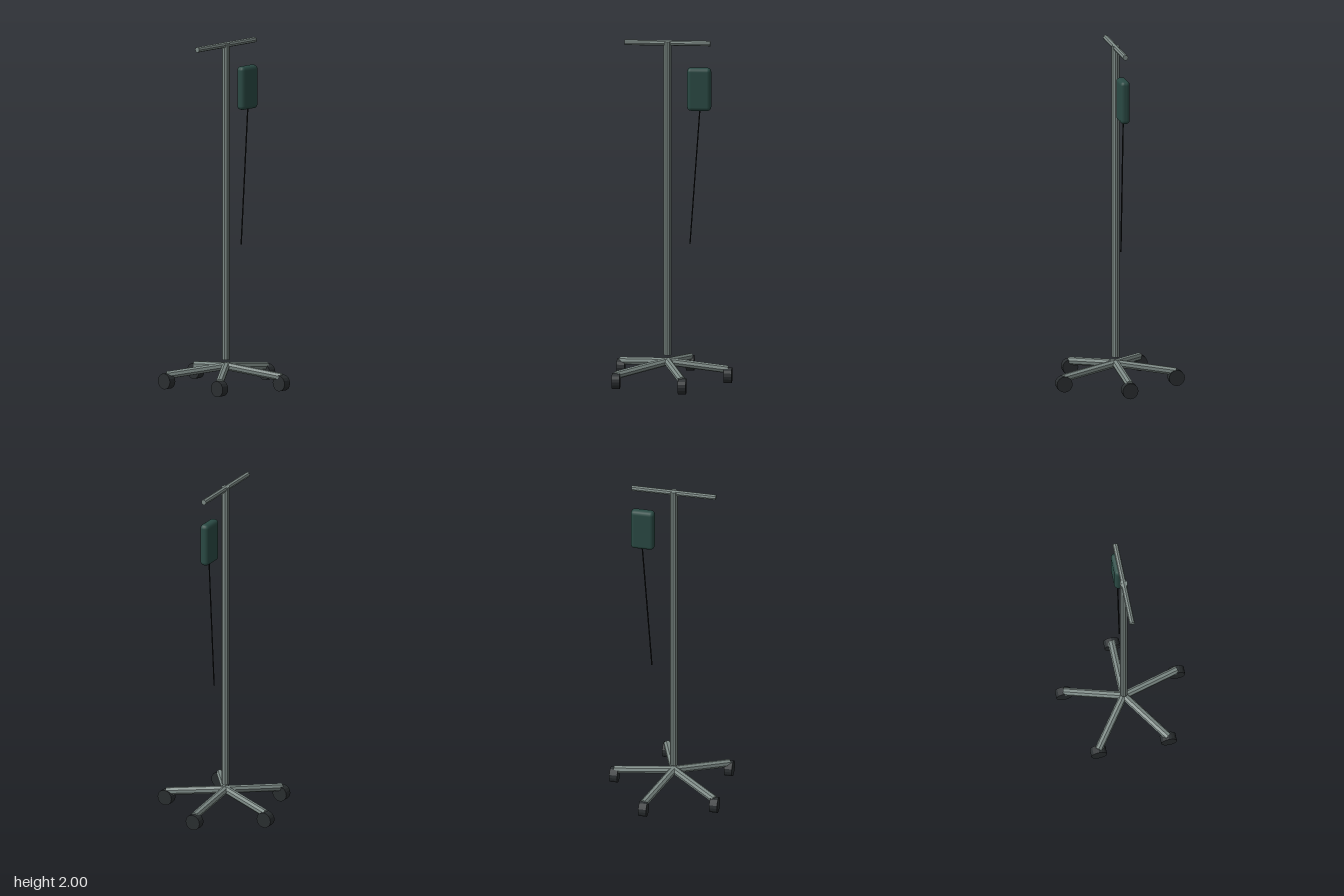
import * as THREE from 'three';
import { RoundedBoxGeometry } from 'three/addons/geometries/RoundedBoxGeometry.js';

const POLE_X = -0.035;
const steel = new THREE.MeshStandardMaterial({ color: 0x7d8a86, flatShading: true });
const rubber = new THREE.MeshStandardMaterial({ color: 0x2a2e30, flatShading: true });
const bagMaterial = new THREE.MeshStandardMaterial({ color: 0x2a4a44 });
const lineMaterial = new THREE.MeshStandardMaterial({ color: 0x151718 });

// Straight round bar between two points
function bar(name, from, to, radius, sides, material) {
  const a = new THREE.Vector3(...from);
  const b = new THREE.Vector3(...to);
  const dir = b.clone().sub(a);
  const mesh = new THREE.Mesh(new THREE.CylinderGeometry(radius, radius, dir.length(), sides), material);
  mesh.name = name;
  mesh.position.copy(a).add(b).multiplyScalar(0.5);
  mesh.quaternion.setFromUnitVectors(new THREE.Vector3(0, 1, 0), dir.normalize());
  return mesh;
}

export function createModel() {
  const model = new THREE.Group();
  model.name = 'dripStand';

  // Upright pole and hanging bar
  model.add(bar('pole', [POLE_X, 0.16, 0], [POLE_X, 1.995, 0], 0.023, 10, steel));
  model.add(bar('crossbar', [POLE_X - 0.246, 1.984, 0], [POLE_X + 0.246, 1.984, 0], 0.016, 8, steel));

  // Five sloping legs, each ending in a wheel whose axle runs along x
  const base = new THREE.Group();
  base.name = 'base';
  for (let i = 0; i < 5; i++) {
    const angle = (i * 2 * Math.PI) / 5;
    const x = POLE_X + Math.cos(angle) * 0.347;
    const z = Math.sin(angle) * 0.347;
    base.add(bar('leg', [POLE_X, 0.122, 0], [x, 0.08, z], 0.023, 8, steel));
    base.add(bar('wheel', [x - 0.023, 0.046, z], [x + 0.023, 0.046, z], 0.046, 16, rubber));
  }
  model.add(base);

  // Fluid bag
  const bag = new THREE.Mesh(new RoundedBoxGeometry(0.138, 0.252, 0.056, 2, 0.023), bagMaterial);
  bag.name = 'fluidBag';
  bag.position.set(0.147, 1.716, 0);
  model.add(bag);

  // Thin line hanging from the bag
  model.add(bar('dripLine', [0.151, 1.6, 0], [0.094, 0.81, 0], 0.004, 6, lineMaterial));

  return model;
}
